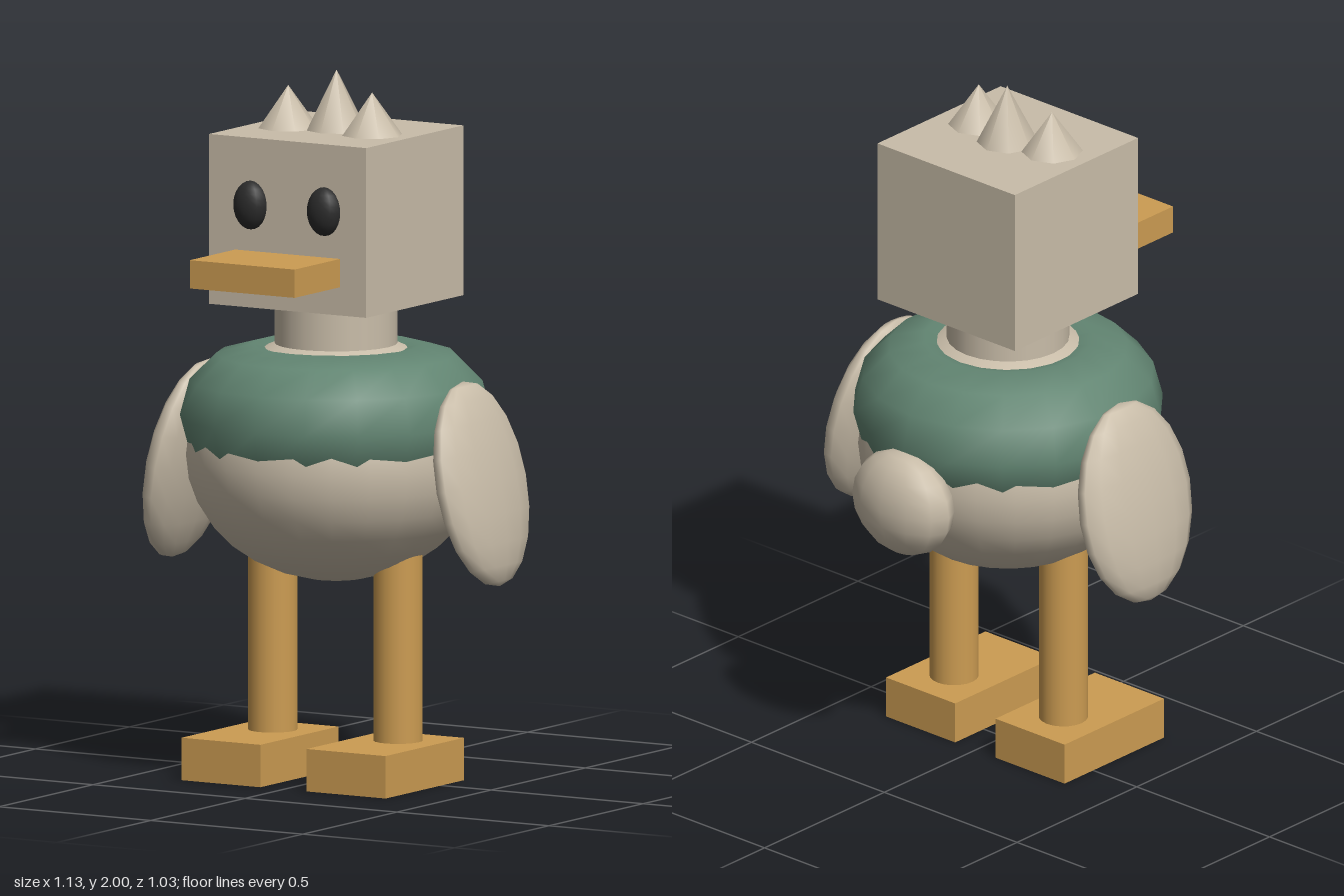
import * as THREE from 'three';

export function createModel() {
  const model = new THREE.Group();
  model.name = 'boxHeadBird';

  const material = (name, color) => {
    const m = new THREE.MeshStandardMaterial({ color });
    m.name = name;
    return m;
  };
  const feather = material('feather beige', 0xc9bda9);
  const green = material('collar green', 0x628572);
  const orange = material('beak orange', 0xcc9c52);
  const black = material('eye black', 0x2b2b2b);

  const add = (name, geometry, mat, x, y, z) => {
    const mesh = new THREE.Mesh(geometry, mat);
    mesh.name = name;
    mesh.position.set(x, y, z);
    model.add(mesh);
    return mesh;
  };
  const ellipsoid = (rx, ry, rz, w, h) => new THREE.SphereGeometry(1, w, h).scale(rx, ry, rz);
  const Z = 0.017; // middle of the body from front to back

  // Body with a thick ring round the shoulders
  add('body', ellipsoid(0.42, 0.35, 0.42, 24, 16), feather, 0, 0.91, Z);
  add('collar', new THREE.TorusGeometry(0.235, 0.202, 12, 18).rotateX(Math.PI / 2).rotateY(Math.PI / 2),
    green, 0, 1.023, Z);
  add('tail', ellipsoid(0.172, 0.153, 0.097, 12, 10), feather, 0, 0.867, -0.42);

  // Neck and square head
  add('neck', new THREE.CylinderGeometry(0.172, 0.172, 0.3, 24), feather, 0, 1.23, Z);
  add('head', new THREE.BoxGeometry(0.517, 0.48, 0.515), feather, 0, 1.59, 0.016);
  add('beak', new THREE.BoxGeometry(0.345, 0.08, 0.28), orange, 0, 1.47, 0.375);

  // Crest of three spikes
  const spike = (name, x, height, z) =>
    add(name, new THREE.ConeGeometry(0.086, height, 8), feather, x, 1.83 + height / 2, z);
  spike('middleSpike', 0, 0.17, 0.014);

  // Mirrored parts
  for (const [side, s] of [['left', 1], ['right', -1]]) {
    spike(side + 'Spike', s * 0.138, 0.12, 0.048);
    add(side + 'Eye', ellipsoid(0.052, 0.069, 0.041, 16, 12), black, s * 0.121, 1.64, 0.274);
    const wing = add(side + 'Wing', ellipsoid(0.066, 0.291, 0.219, 14, 10), feather, s * 0.478, 0.866, Z);
    wing.rotation.z = s * 0.21;
    add(side + 'Leg', new THREE.CylinderGeometry(0.069, 0.069, 0.58, 20), orange, s * 0.206, 0.4, 0.02);
    add(side + 'Foot', new THREE.BoxGeometry(0.26, 0.12, 0.415), orange, s * 0.206, 0.06, 0.088);
  }

  return model;
}
